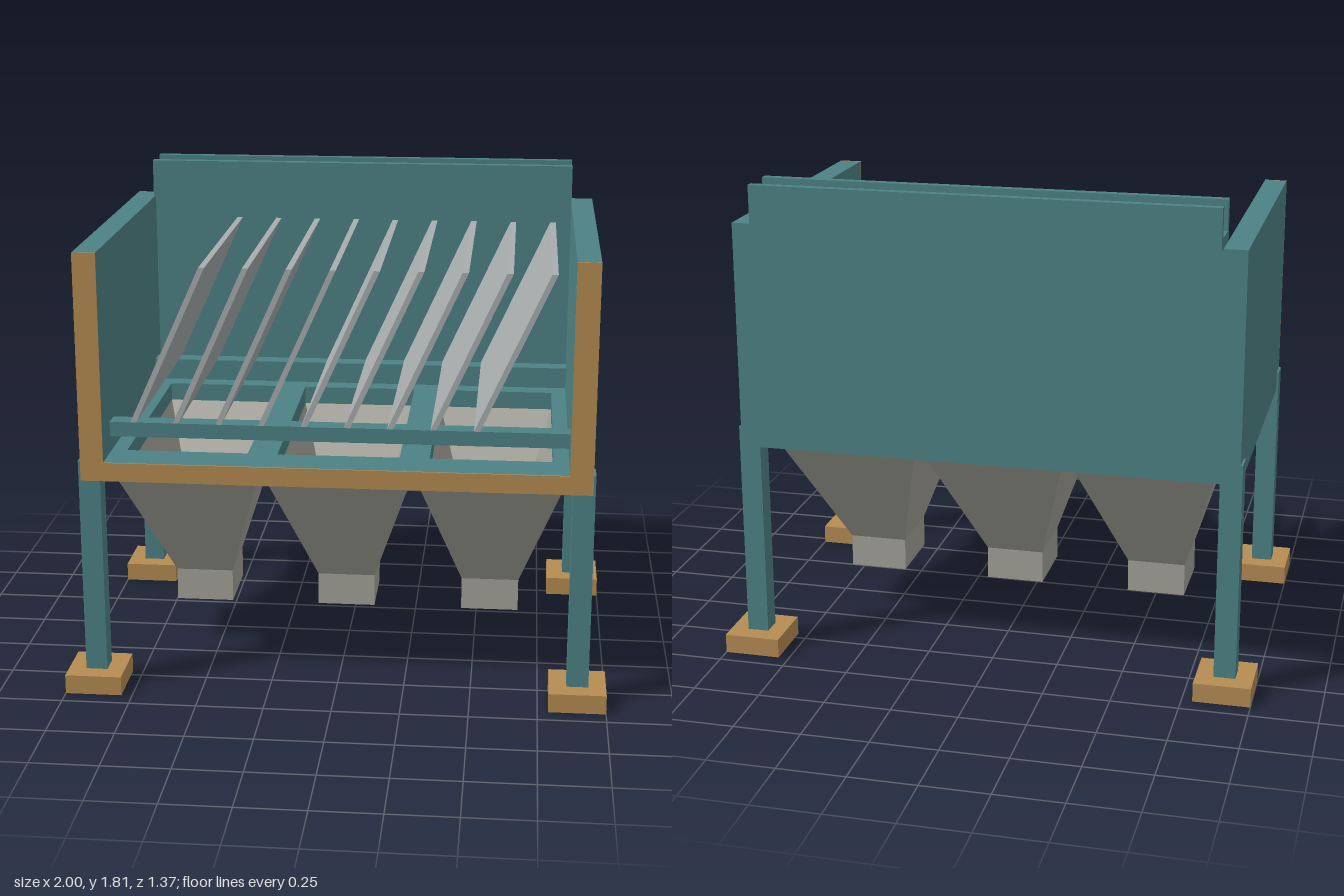
import * as THREE from 'three';

const material = (color) => {
  const m = new THREE.MeshStandardMaterial();
  m.color.set(color);
  return m;
};

export function createModel() {
  const teal = material(0x4d8285);
  const ochre = material(0xb58c52);
  const warmGrey = material(0xa3a299);
  const plateGrey = material(0xa9adad);
  const model = new THREE.Group();

  const add = (name, geometry, mat) => {
    const mesh = new THREE.Mesh(geometry, mat);
    mesh.name = name;
    model.add(mesh);
    return mesh;
  };
  // Box given by its minimum and maximum on each axis
  const box = (name, mat, [x0, x1], [y0, y1], [z0, z1]) =>
    add(name, new THREE.BoxGeometry(x1 - x0, y1 - y0, z1 - z0), mat)
      .position.set((x0 + x1) / 2, (y0 + y1) / 2, (z0 + z1) / 2);
  const rectangle = (Type, cx, cy, hx, hy) => new Type([
    new THREE.Vector2(cx - hx, cy - hy), new THREE.Vector2(cx + hx, cy - hy),
    new THREE.Vector2(cx + hx, cy + hy), new THREE.Vector2(cx - hx, cy + hy),
  ]);

  const W = 0.927, inner = 0.842, D = 0.615, bottom = 0.815, floorTop = 0.885, top = 1.66;
  const front = D - 0.006;
  const hopperX = [-0.56, 0, 0.56];

  // Floor with one opening above each hopper
  const floorShape = rectangle(THREE.Shape, 0, 0, inner, front);
  for (const x of hopperX) floorShape.holes.push(rectangle(THREE.Path, x, 0, 0.225, 0.455));
  const floorGeometry = new THREE.ExtrudeGeometry(floorShape, { depth: floorTop - bottom, bevelEnabled: false });
  floorGeometry.rotateX(-Math.PI / 2);
  add('floor', floorGeometry, teal).position.y = bottom;

  // Side and back walls
  box('rightWall', teal, [-W, -inner], [bottom, top], [-D, front]);
  box('leftWall', teal, [inner, W], [bottom, top], [-D, front]);
  box('backWall', teal, [-inner, inner], [bottom, top], [-D, -D + 0.085]);

  // Thin coloured edge round the open front
  const edge = new THREE.Shape([
    [-W, bottom], [W, bottom], [W, top], [inner, top],
    [inner, floorTop], [-inner, floorTop], [-inner, top], [-W, top],
  ].map(([x, y]) => new THREE.Vector2(x, y)));
  add('frontEdge', new THREE.ExtrudeGeometry(edge, { depth: D - front, bevelEnabled: false }), ochre)
    .position.z = front;

  // Rails carrying the slanted plates
  box('frontRail', teal, [-inner, inner], [0.945, 1.0], [0.41, 0.48]);
  box('backRail', teal, [-inner, inner], [0.945, 1.0], [-0.485, -0.415]);

  // Slanted plates
  const plate = new THREE.Shape([[-0.765, 1.0], [-0.743, 1.0], [-0.478, 1.585], [-0.5, 1.585]]
    .map(([x, y]) => new THREE.Vector2(x, y)));
  const plateGeometry = new THREE.ExtrudeGeometry(plate, { depth: 0.96, bevelEnabled: false });
  for (let i = 0; i < 9; i++) {
    add('slantedPlate', plateGeometry, plateGrey).position.set(i * 0.1575, 0, -0.48);
  }

  // Channel along the top of the back wall
  const channel = new THREE.Shape([
    [0.485, 1.66], [0.66, 1.66], [0.66, 1.81], [0.63, 1.81],
    [0.63, 1.7], [0.517, 1.7], [0.517, 1.81], [0.485, 1.81],
  ].map(([z, y]) => new THREE.Vector2(z, y)));
  const channelGeometry = new THREE.ExtrudeGeometry(channel, { depth: 2 * inner, bevelEnabled: false });
  channelGeometry.rotateY(Math.PI / 2);
  add('topChannel', channelGeometry, teal).position.x = -inner;

  // Hoppers with spouts
  const hopperGeometry = hollowHopper([
    [0.225, 0.455, 0.815], [0.27, 0.51, 0.815], [0.11, 0.135, 0.295], [0.11, 0.135, 0.17],
    [0.065, 0.09, 0.17], [0.065, 0.09, 0.295], [0.225, 0.455, 0.815],
  ]);
  for (const x of hopperX) add('hopper', hopperGeometry, warmGrey).position.x = x;

  // Legs on square feet
  for (const sx of [-1, 1]) for (const sz of [-1, 1]) {
    add('leg', new THREE.BoxGeometry(0.08, 0.82, 0.078), teal).position.set(sx * 0.895, 0.48, sz * 0.575);
    add('foot', new THREE.BoxGeometry(0.21, 0.072, 0.22), ochre).position.set(sx * 0.895, 0.036, sz * 0.575);
  }
  return model;
}

// Flat-sided hollow body joining rectangular sections [half width, half depth, height]
function hollowHopper(sections) {
  const positions = [];
  const corners = [[1, 1], [1, -1], [-1, -1], [-1, 1]];
  const point = ([hx, hz, y], [cx, cz]) => [cx * hx, y, cz * hz];
  for (let s = 0; s < sections.length - 1; s++) {
    for (let c = 0; c < 4; c++) {
      const next = corners[(c + 1) % 4];
      const a = point(sections[s], corners[c]), b = point(sections[s], next);
      const d = point(sections[s + 1], corners[c]), e = point(sections[s + 1], next);
      positions.push(...a, ...d, ...b, ...b, ...d, ...e);
    }
  }
  const geometry = new THREE.BufferGeometry();
  geometry.setAttribute('position', new THREE.Float32BufferAttribute(positions, 3));
  geometry.computeVertexNormals();
  return geometry;
}
